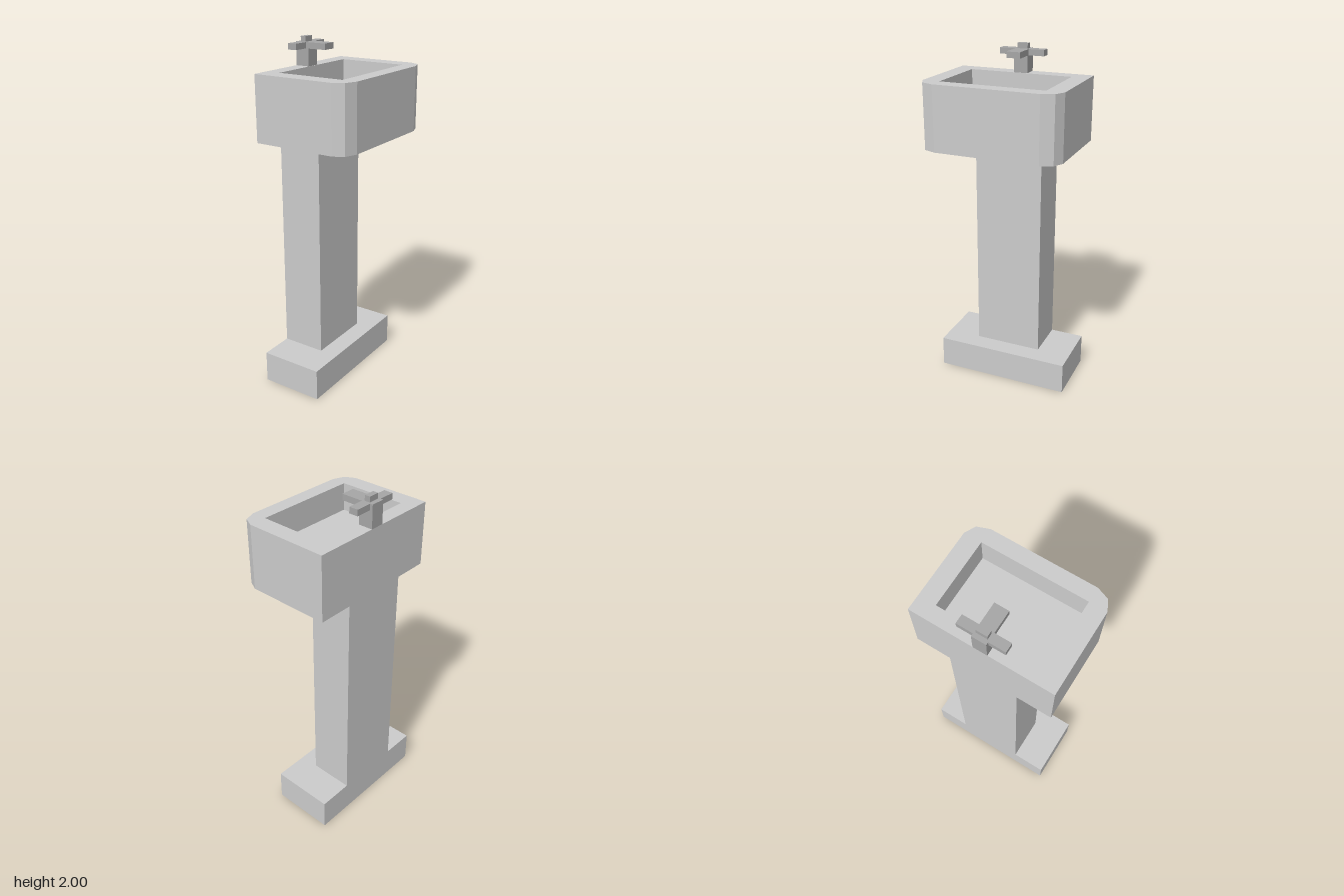
import * as THREE from 'three';

const stone = new THREE.MeshStandardMaterial({ color: 0xcccccc, flatShading: true });
const metal = new THREE.MeshStandardMaterial({ color: 0xa6a6a6, flatShading: true });

// Box given by its lower and upper corner
function box(name, [x0, y0, z0], [x1, y1, z1], material) {
  const mesh = new THREE.Mesh(new THREE.BoxGeometry(x1 - x0, y1 - y0, z1 - z0), material);
  mesh.position.set((x0 + x1) / 2, (y0 + y1) / 2, (z0 + z1) / 2);
  mesh.name = name;
  return mesh;
}

// Basin outline with faceted corners on the +x side, optionally with the bowl cut out
function basinSlab(name, y0, y1, open) {
  const half = [[0.283, 0.3], [0.257, 0.37], [0.197, 0.4], [-0.283, 0.4]];
  const outline = [...half, ...half.map(([x, z]) => [x, -z]).reverse()];
  const shape = new THREE.Shape(outline.map(([x, z]) => new THREE.Vector2(x, z)));
  if (open) {
    const bowl = [[-0.197, -0.3], [-0.197, 0.3], [0.197, 0.3], [0.197, -0.3]];
    shape.holes.push(new THREE.Path(bowl.map(([x, z]) => new THREE.Vector2(x, z))));
  }
  const geometry = new THREE.ExtrudeGeometry(shape, { depth: y1 - y0, bevelEnabled: false });
  geometry.rotateX(-Math.PI / 2);
  const mesh = new THREE.Mesh(geometry, stone);
  mesh.position.y = y0;
  mesh.name = name;
  return mesh;
}

export function createModel() {
  const model = new THREE.Group();
  model.name = 'pedestalSink';

  // Foot and column, flush at the -x side
  model.add(box('base', [-0.283, 0, -0.4], [0.086, 0.185, 0.4], stone));
  model.add(box('column', [-0.283, 0.185, -0.2], [-0.025, 1.473, 0.2], stone));

  // Basin: solid lower part and hollow rim
  const basin = new THREE.Group();
  basin.name = 'basin';
  basin.add(basinSlab('basinFloor', 1.473, 1.682, false));
  basin.add(basinSlab('basinRim', 1.682, 1.84, true));
  model.add(basin);

  // Faucet: post, spout, a handle on each side and a knob
  const faucet = new THREE.Group();
  faucet.name = 'faucet';
  faucet.add(box('faucetPost', [-0.283, 1.84, -0.04], [-0.2, 1.97, 0.04], metal));
  faucet.add(box('spout', [-0.2, 1.936, -0.04], [-0.09, 1.97, 0.04], metal));
  faucet.add(box('leftHandle', [-0.267, 1.936, -0.132], [-0.215, 1.97, -0.04], metal));
  faucet.add(box('rightHandle', [-0.267, 1.936, 0.04], [-0.215, 1.97, 0.132], metal));
  faucet.add(box('knob', [-0.257, 1.97, -0.031], [-0.225, 2, 0.031], metal));
  model.add(faucet);

  return model;
}
